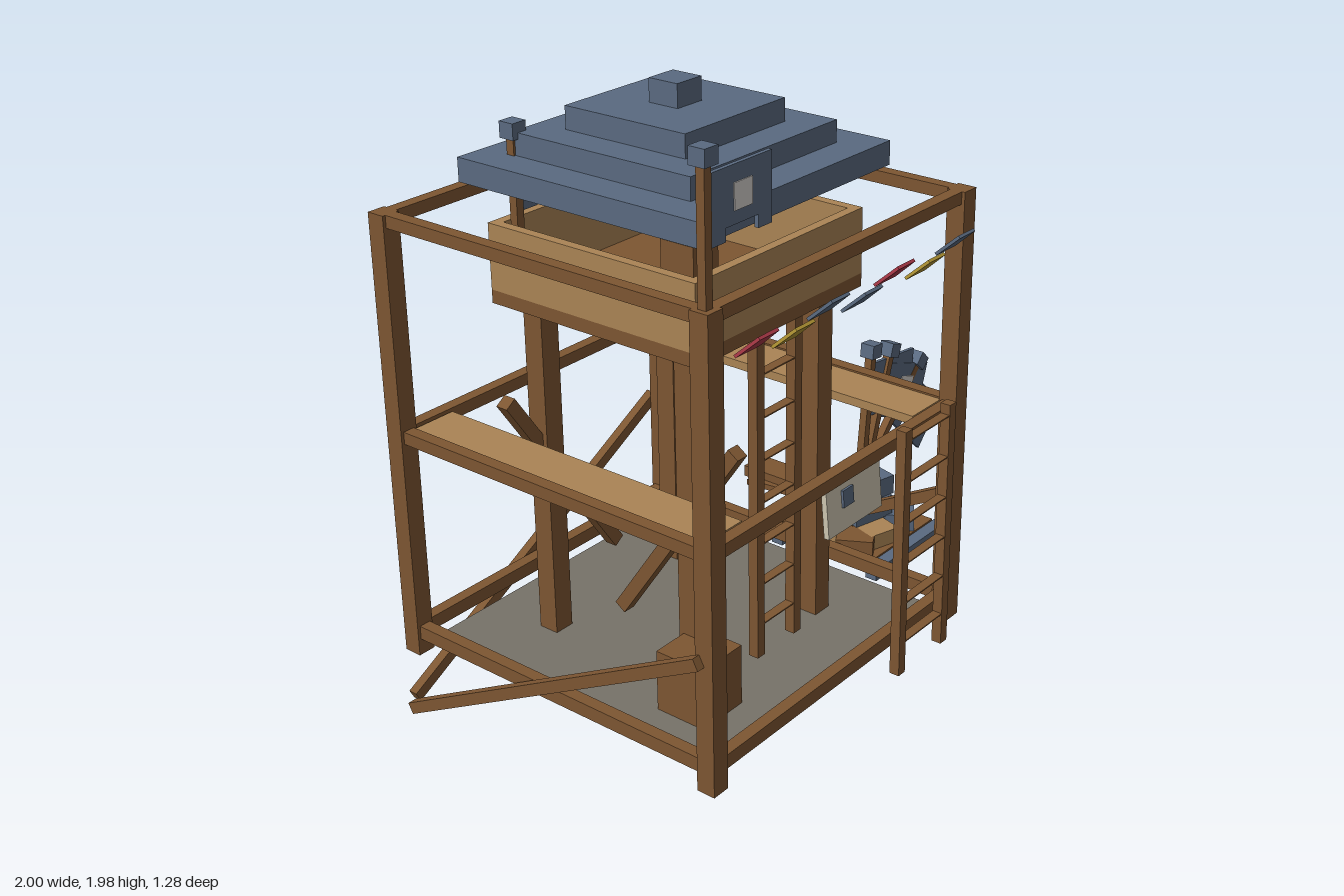
import * as THREE from 'three';

const mat = (name, color) => {
  const m = new THREE.MeshStandardMaterial({ color });
  m.name = name;
  return m;
};
const shape = points => new THREE.Shape(points.map(p => new THREE.Vector2(...p)));

export function createModel() {
  const wood = mat('brown wood', 0x7d5632);
  const plank = mat('tan planks', 0xaa8455);
  const slate = mat('slate blue', 0x5a6a80);
  const stone = mat('grey floor', 0x777269);
  const pale = mat('pale board', 0xcdc5b0);
  const light = mat('light grey emblem', 0xd2cecb);
  const red = mat('red cloth', 0xac3a48);
  const yellow = mat('yellow cloth', 0xb59835);

  const model = new THREE.Group();
  model.name = 'watchtower';
  const CX = -0.386, CZ = -0.02;

  const part = (name, geo, material, parent = model) => {
    const m = new THREE.Mesh(geo, material);
    m.name = name;
    parent.add(m);
    return m;
  };
  // Box given by its lower and upper limits on each axis
  const box = (name, material, x0, x1, y0, y1, z0, z1, parent = model) => {
    const m = part(name, new THREE.BoxGeometry(x1 - x0, y1 - y0, z1 - z0), material, parent);
    m.position.set((x0 + x1) / 2, (y0 + y1) / 2, (z0 + z1) / 2);
    return m;
  };
  // Square beam between two points
  const beam = (name, a, b, w, d) => {
    const A = new THREE.Vector3(...a), B = new THREE.Vector3(...b);
    const m = part(name, new THREE.BoxGeometry(w, d, A.distanceTo(B)), wood);
    m.position.copy(A).add(B).multiplyScalar(0.5);
    m.lookAt(B);
    return m;
  };

  // Outer frame: corner posts and three levels of rails
  for (const sx of [-1, 1]) for (const sz of [-1, 1]) {
    const x = CX + sx * 0.559, z = CZ + sz * 0.562;
    box('cornerPost', wood, x - 0.029, x + 0.029, 0.21, 1.585, z - 0.029, z + 0.029);
  }
  for (const [y0, y1] of [[0.262, 0.305], [0.902, 0.94], [1.548, 1.585]]) {
    for (const s of [-1, 1]) {
      const z = CZ + s * 0.562, x = CX + s * 0.559;
      box('rail', wood, CX - 0.53, CX + 0.53, y0, y1, z - 0.019, z + 0.019);
      box('sideRail', wood, x - 0.019, x + 0.019, y0, y1, CZ - 0.533, CZ + 0.533);
    }
  }
  box('floor', stone, -0.892, 0.12, 0.215, 0.262, -0.53, 0.487);
  box('walkway', plank, -0.925, -0.778, 0.908, 0.935, -0.553, 0.513);
  box('walkway', plank, 0.006, 0.153, 0.908, 0.935, -0.553, 0.513);

  // Diagonal braces on the back and both sides
  beam('backBrace', [0.17, 0.62, -0.625], [-0.945, 0.024, -0.625], 0.03, 0.036);
  for (const x of [-0.985, 0.215])
    beam('sideBrace', [x, 0.62, 0.535], [x, 0.024, -0.585], 0.03, 0.036);

  // Struts crossing two of the tower legs
  beam('backStrut', [-0.812, 1.05, -0.295], [-0.392, 0.435, -0.295], 0.04, 0.04);
  beam('sideStrut', [-0.66, 1.05, 0.405], [-0.66, 0.435, -0.015], 0.04, 0.04);

  // Inner tower: legs and open basket
  for (const sx of [-1, 1]) for (const sz of [-1, 1]) {
    const x = CX + sx * 0.275, z = CZ + sz * 0.273;
    box('towerLeg', wood, x - 0.033, x + 0.033, 0.26, 1.31, z - 0.033, z + 0.033);
  }
  box('basketFloor', wood, -0.75, -0.024, 1.305, 1.345, -0.387, 0.345);
  for (const [z0, z1] of [[-0.387, -0.357], [0.315, 0.345]])
    box('basketWall', plank, -0.75, -0.024, 1.345, 1.54, z0, z1);
  for (const [x0, x1] of [[-0.75, -0.72], [-0.054, -0.024]])
    box('basketSide', plank, x0, x1, 1.345, 1.54, -0.357, 0.315);
  box('basketCrate', wood, -0.69, -0.59, 1.345, 1.605, 0.18, 0.29);

  // Stepped roof
  [[0.415, 1.66, 1.73], [0.31, 1.73, 1.795], [0.209, 1.795, 1.862], [0.05, 1.862, 1.93]]
    .forEach(([h, y0, y1]) => box('roofTier', slate, CX - h, CX + h, y0, y1, CZ - h, CZ + h));

  // Ladders with thin flat rungs
  const ladder = (x0, x1, y0, y1, z) => {
    for (const x of [x0, x1])
      box('ladderRail', wood, x - 0.016, x + 0.016, y0, y1, z - 0.016, z + 0.016);
    for (let y = y0 + 0.1; y < y1; y += 0.13)
      box('ladderRung', wood, x0, x1, y, y + 0.004, z - 0.015, z + 0.015);
  };
  ladder(-0.47, -0.3, 0.3, 1.305, 0.318);
  ladder(-0.19, 0.031, 0.215, 1.0, 0.616);

  // Banner standards: pole, cap, notched cloth and emblem
  const cloth = new THREE.ExtrudeGeometry(shape([
    [0.02, -0.05], [0.25, -0.05], [0.25, -0.235], [0.197, -0.235],
    [0.197, -0.2], [0.073, -0.2], [0.073, -0.235], [0.02, -0.235],
  ]), { depth: 0.012, bevelEnabled: false });
  const standard = (x, y, z, length, lean) => {
    const g = new THREE.Group();
    g.name = 'bannerStandard';
    g.position.set(x, y, z);
    g.rotation.z = -lean;
    model.add(g);
    box('pole', wood, -0.013, 0.013, 0, length, -0.013, 0.013, g);
    box('poleCap', slate, -0.025, 0.025, length - 0.025, length + 0.022, -0.025, 0.025, g);
    part('banner', cloth, slate, g).position.set(0, length, -0.006);
    box('emblem', light, 0.103, 0.172, length - 0.165, length - 0.095, -0.009, 0.009, g);
  };
  standard(-0.945, 1.585, 0.54, 0.382, 0);
  standard(-0.69, 1.345, -0.333, 0.457, 0);
  standard(0.522, 0.31, -0.027, 0.495, 0.11);
  standard(0.528, 0.31, -0.024, 0.485, 0.32);
  standard(0.52, 0.32, -0.03, 0.485, 0.765);

  // Bunting tilted forward across the front
  const pennant = new THREE.ExtrudeGeometry(
    shape([[-0.048, -0.046], [0.048, -0.046], [0.038, 0.046], [-0.038, 0.046]]),
    { depth: 0.009, bevelEnabled: false });
  [red, yellow, slate, slate, red, yellow, slate].forEach((c, i) => {
    const p = part('pennant', pennant, c);
    p.position.set(-0.825 + i * 0.1467, i % 2 ? 1.452 : 1.478, 0.6);
    p.rotation.x = 0.83;
  });

  // Notice board hung on the front
  const board = new THREE.Group();
  board.name = 'noticeBoard';
  board.position.set(-0.04, 0.655, 0.337);
  board.rotation.x = -0.09;
  model.add(board);
  box('board', pale, -0.135, 0.135, -0.1, 0.1, -0.009, 0.009, board);
  box('boardMark', slate, -0.063, -0.012, -0.025, 0.03, 0.009, 0.017, board);

  box('floorCrate', wood, -0.81, -0.643, 0.262, 0.45, 0.235, 0.4);

  // Side sled with beams, deck and piled blocks
  for (const [z0, z1] of [[-0.145, -0.103], [0.228, 0.27]])
    box('sledRunner', slate, 0.2, 0.6, 0.213, 0.252, z0, z1);
  box('sledDeck', wood, 0.21, 0.582, 0.238, 0.258, -0.103, 0.228);
  // x, y, z, width, height, depth, turn, material
  [
    [0.27, 0.284, 0.14, 0.1, 0.05, 0.12, 0.5, wood],
    [0.35, 0.284, 0.16, 0.11, 0.05, 0.1, -0.3, plank],
    [0.49, 0.284, 0.15, 0.11, 0.06, 0.11, 0.6, slate],
    [0.27, 0.284, 0.05, 0.11, 0.05, 0.1, 0.2, plank],
    [0.47, 0.285, -0.05, 0.12, 0.05, 0.09, 0.4, wood],
    [0.39, 0.345, 0.08, 0.15, 0.07, 0.12, -0.25, slate],
    [0.41, 0.415, 0.08, 0.13, 0.065, 0.12, -0.25, slate],
    [0.27, 0.29, -0.02, 0.09, 0.06, 0.1, -0.3, slate],
  ].forEach(([x, y, z, w, h, d, turn, m]) => {
    const b = part('block', new THREE.BoxGeometry(w, h, d), m);
    b.position.set(x, y, z);
    b.rotation.y = turn;
  });
  box('sledPlank', wood, 0.382, 0.48, 0.3, 0.338, -0.405, -0.03);
  beam('sledHandle', [0.365, 0.3, -0.37], [0.41, 0.3, -0.03], 0.03, 0.02);

  return model;
}
